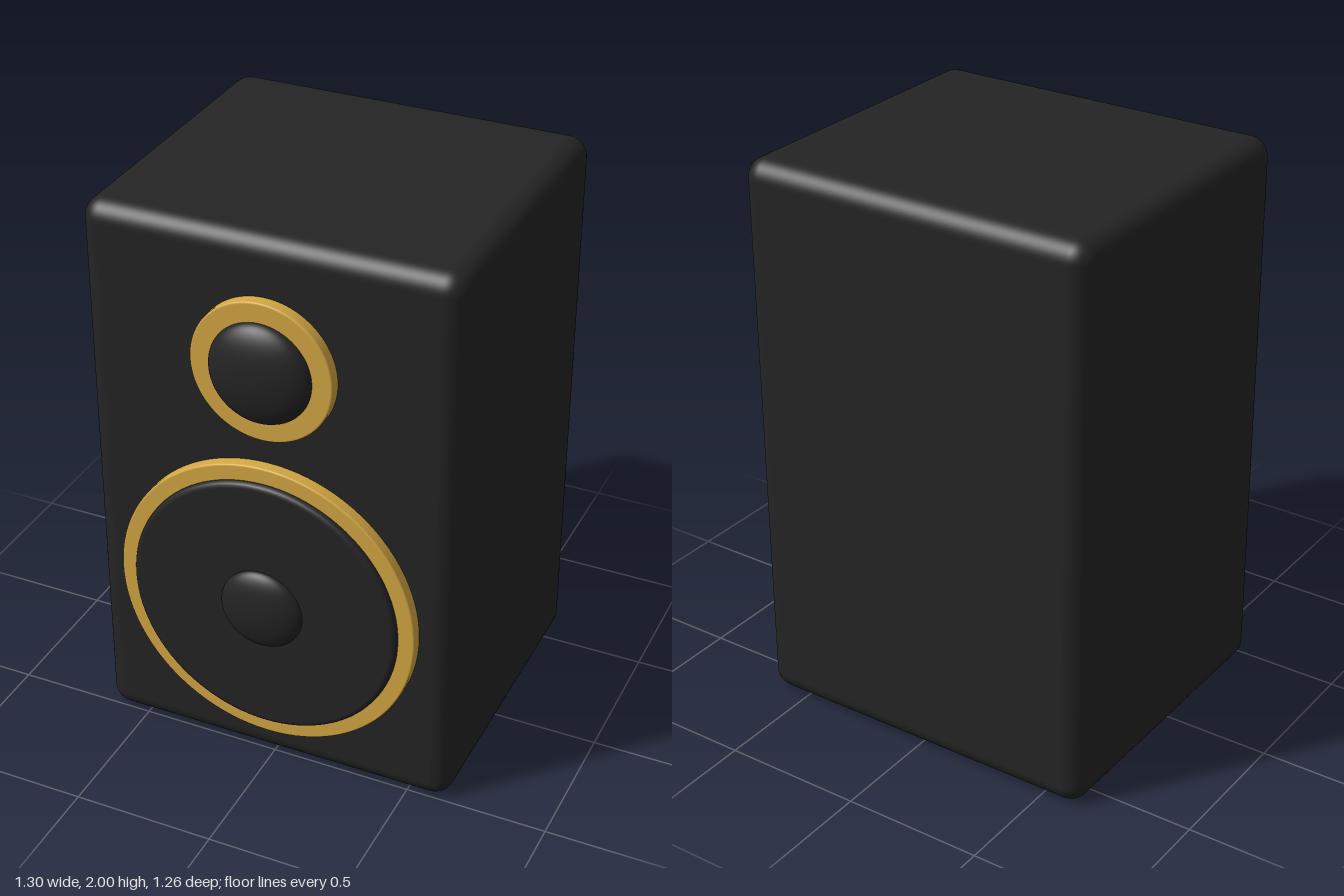
import * as THREE from 'three';
import { RoundedBoxGeometry } from 'three/addons/geometries/RoundedBoxGeometry.js';

const black = new THREE.MeshStandardMaterial({ color: 0x242424 });
black.name = 'matte black';
const gold = new THREE.MeshStandardMaterial({ color: 0xd4a843 });
gold.name = 'gold';

const BAFFLE = 0.515; // z of the cabinet's front face

function add(parent, name, geometry, material, y, z) {
  const mesh = new THREE.Mesh(geometry, material);
  mesh.name = name;
  mesh.position.set(0, y, z);
  parent.add(mesh);
  return mesh;
}

// Disc or ring of revolution about z with softly bevelled front edge
function disc(radius, depth, bevel, hole = 0) {
  const pts = [new THREE.Vector2(radius, 0)];
  for (let i = 0; i <= 4; i++) {
    const a = (i / 4) * Math.PI / 2;
    pts.push(new THREE.Vector2(radius - bevel + bevel * Math.cos(a), depth - bevel + bevel * Math.sin(a)));
  }
  pts.push(new THREE.Vector2(radius - bevel - 0.002, depth));
  pts.push(new THREE.Vector2(hole, depth));
  if (hole > 0) pts.push(new THREE.Vector2(hole, depth), new THREE.Vector2(hole, 0));
  return new THREE.LatheGeometry(pts, 96).rotateX(Math.PI / 2);
}

// Flattened half sphere bulging towards +z
function dome(radius, height) {
  return new THREE.SphereGeometry(radius, 64, 20, 0, Math.PI * 2, 0, Math.PI / 2)
    .rotateX(Math.PI / 2)
    .scale(1, 1, height / radius);
}

export function createModel() {
  const model = new THREE.Group();
  model.name = 'loudspeaker';

  // Cabinet
  add(model, 'cabinet', new RoundedBoxGeometry(1.3, 2, 1.145, 6, 0.07), black, 1, -0.0575);

  // Small upper driver
  const tweeter = new THREE.Group();
  tweeter.name = 'tweeter';
  add(tweeter, 'tweeterRing', disc(0.247, 0.041, 0.006, 0.165), gold, 1.555, BAFFLE);
  add(tweeter, 'tweeterDome', dome(0.178, 0.072), black, 1.555, 0.554);

  // Large lower driver
  const woofer = new THREE.Group();
  woofer.name = 'woofer';
  add(woofer, 'wooferRing', disc(0.537, 0.041, 0.006, 0.46), gold, 0.665, BAFFLE);
  add(woofer, 'wooferCone', disc(0.48, 0.063, 0.018), black, 0.665, BAFFLE);
  add(woofer, 'dustCap', dome(0.147, 0.054), black, 0.665, 0.577);

  model.add(tweeter, woofer);
  return model;
}
